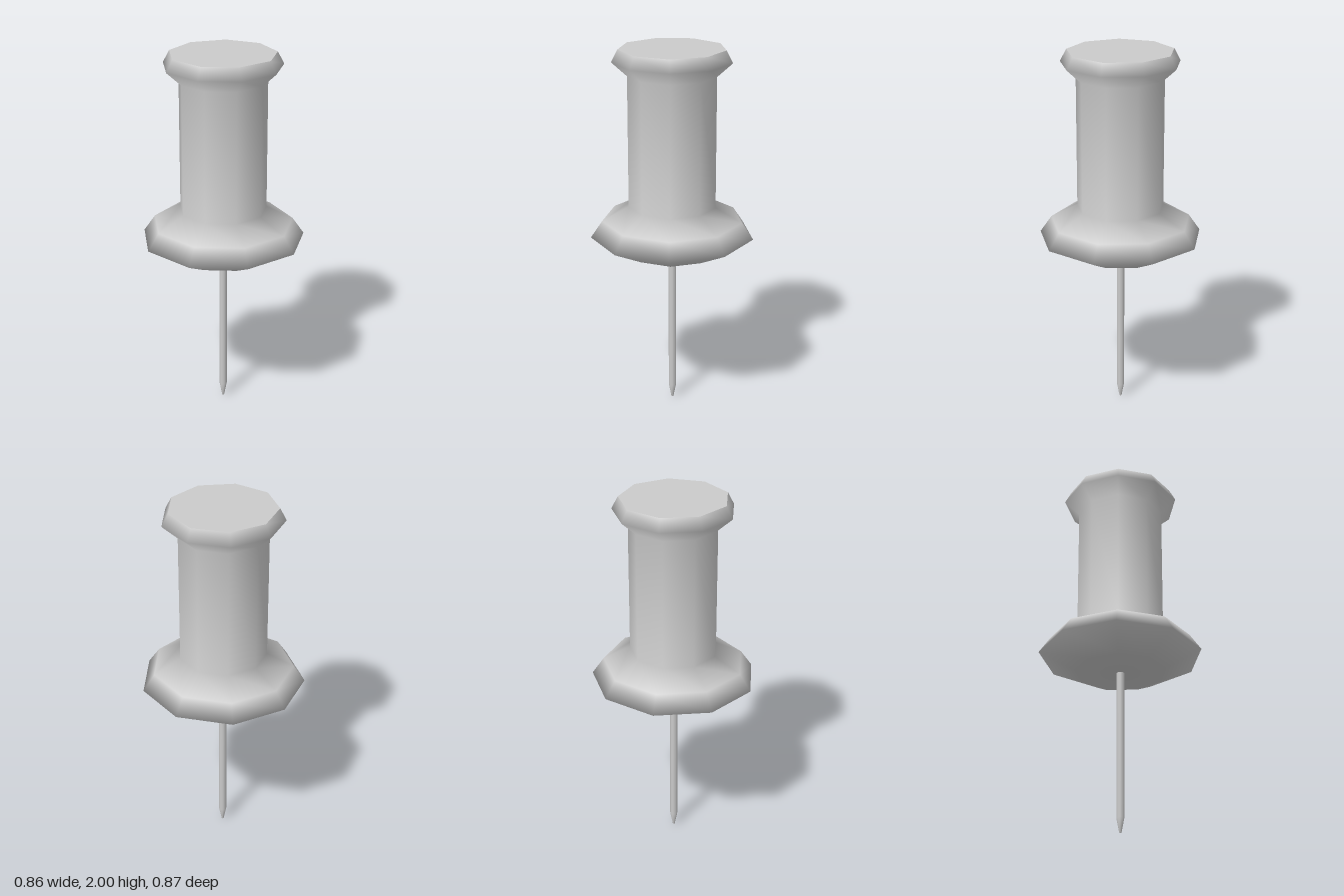
import * as THREE from 'three';

const SIDES = 9;

// Turns a [radius, height] profile (bottom to top) with one corner on +x.
function turned(name, profile, sides, material) {
  const points = profile.map(([r, y]) => new THREE.Vector2(r, y));
  const mesh = new THREE.Mesh(new THREE.LatheGeometry(points, sides, Math.PI / 2), material);
  mesh.name = name;
  return mesh;
}

export function createModel() {
  const group = new THREE.Group();
  group.name = 'pushPin';
  const material = new THREE.MeshStandardMaterial({ color: 0xcccccc });

  // Handle: underside, wide flange, straight grip and flared rim
  const handle = turned('handle', [
    [0, 0.885], [0.1, 0.886], [0.248, 0.89],
    [0.442, 0.985], [0.38, 1.075], [0.236, 1.15],
    [0.236, 1.86], [0.318, 1.935], [0.284, 2],
  ], SIDES, material);

  // Flat top of the handle
  const cap = new THREE.Mesh(new THREE.CircleGeometry(0.284, SIDES), material);
  cap.name = 'topCap';
  cap.rotation.x = -Math.PI / 2;
  cap.position.y = 2;

  // Needle: shaft with a tapered point
  const needle = turned('needle', [
    [0, 0], [0.006, 0.003], [0.021, 0.08], [0.021, 0.9],
  ], SIDES, material);

  group.add(handle, cap, needle);
  // Odd-sided outline: shift so its bounds are centred on x = 0
  for (const part of group.children) part.position.x = -0.013;
  return group;
}
